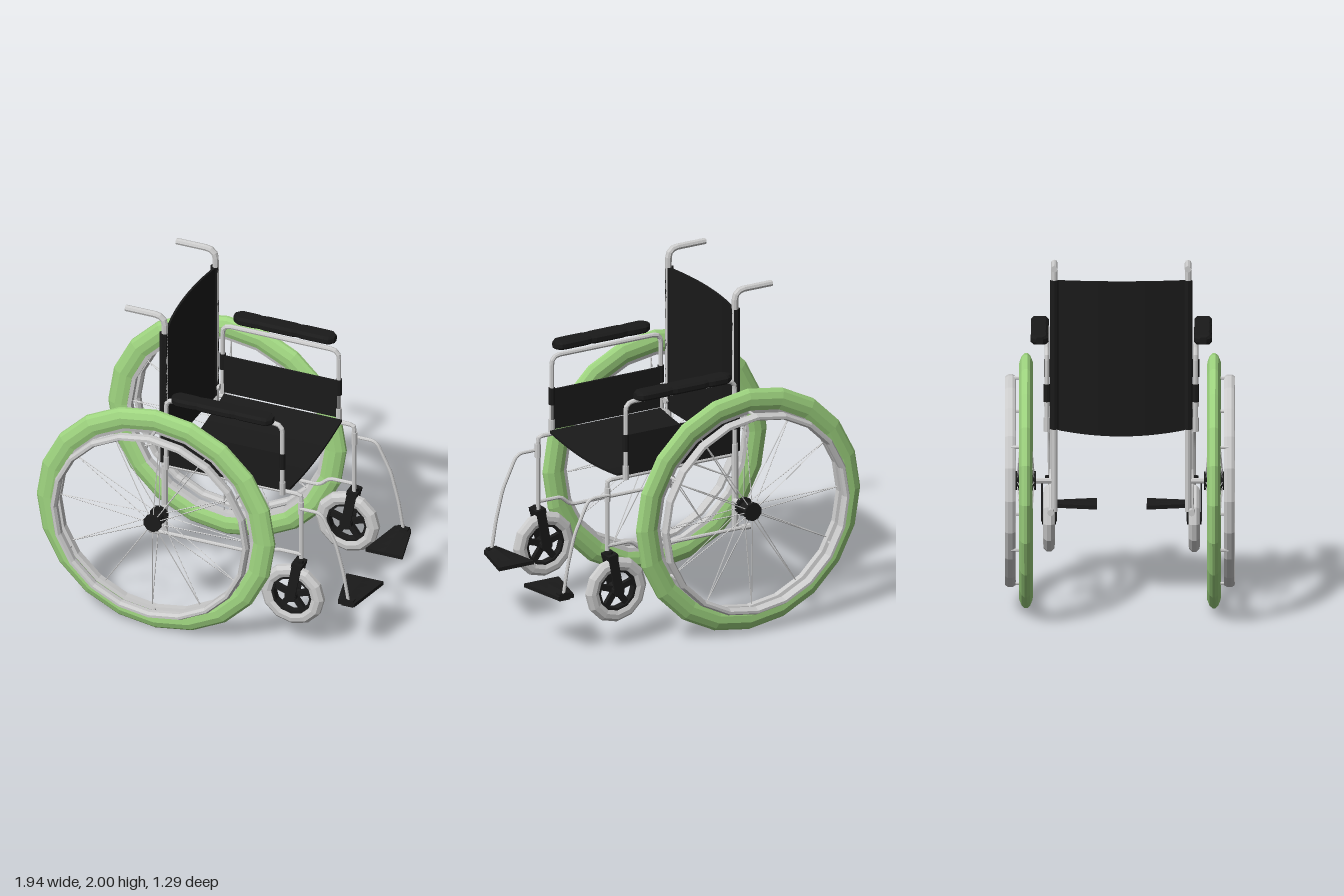
import * as THREE from 'three';

const paint = (color) => new THREE.MeshStandardMaterial({ color, flatShading: true, side: THREE.DoubleSide });
const metal = paint(0xcccccc);
const black = paint(0x1a1a1a);
const green = paint(0x9fd580);
const V = (x, y, z) => new THREE.Vector3(x, y, z);

function add(parent, name, geometry, material, x = 0, y = 0, z = 0) {
  const mesh = new THREE.Mesh(geometry, material);
  mesh.name = name;
  mesh.position.set(x, y, z);
  parent.add(mesh);
  return mesh;
}

// Straight closed rod between two points
function rod(parent, name, a, b, r, material = metal, sides = 8, r2 = r) {
  const d = b.clone().sub(a);
  const mesh = add(parent, name, new THREE.CylinderGeometry(r2, r, d.length(), sides), material);
  mesh.position.copy(a).addScaledVector(d, 0.5);
  mesh.quaternion.setFromUnitVectors(V(0, 1, 0), d.normalize());
  return mesh;
}

// Bent tube through [x, y] points at depth z, with rounded corners and closed ends
function bentTube(parent, name, pts, z, r, fillet = 0.05) {
  const p = pts.map(([x, y]) => V(x, y, z));
  const path = new THREE.CurvePath();
  let from = p[0];
  for (let i = 1; i < p.length - 1; i++) {
    const near = (q) => {
      const d = q.clone().sub(p[i]);
      return p[i].clone().addScaledVector(d, Math.min(fillet / d.length(), 0.45));
    };
    const a = near(p[i - 1]), b = near(p[i + 1]);
    path.add(new THREE.LineCurve3(from, a));
    path.add(new THREE.QuadraticBezierCurve3(a, p[i], b));
    from = b;
  }
  path.add(new THREE.LineCurve3(from, p[p.length - 1]));
  add(parent, name, new THREE.TubeGeometry(path, 56, r, 8), metal);
  for (const t of [0, 1]) {
    const end = path.getPointAt(t), dir = path.getTangentAt(t).multiplyScalar(0.003);
    rod(parent, name + 'End', end.clone().sub(dir), end.clone().add(dir), r);
  }
}

// Ring about the z axis from a closed [radius, depth] section
function ring(parent, name, section, sides, material, x, y, z) {
  const pts = [...section, section[0]].map(([r, d]) => new THREE.Vector2(r, d));
  return add(parent, name, new THREE.LatheGeometry(pts, sides).rotateX(Math.PI / 2), material, x, y, z);
}

function driveWheel(s) {
  const g = new THREE.Group();
  g.name = s > 0 ? 'nearDriveWheel' : 'farDriveWheel';
  g.position.set(-0.255, 0.722, 0);
  ring(g, 'tyre', [[0.6, -0.025], [0.63, -0.036], [0.67, -0.038], [0.705, -0.024], [0.72, -0.008],
    [0.72, 0.008], [0.705, 0.024], [0.67, 0.038], [0.63, 0.036], [0.6, 0.025]], 20, green, 0, 0, 0.527 * s);
  ring(g, 'rim', [[0.578, -0.018], [0.604, -0.024], [0.604, 0.024], [0.578, 0.018]], 20, metal, 0, 0, 0.527 * s);
  // Hand rim with standoffs
  const tube = [];
  for (let i = 0; i < 8; i++) {
    const a = (i + 0.5) * Math.PI / 4;
    tube.push([0.582 + 0.02 * Math.cos(a), 0.032 * Math.sin(a)]);
  }
  ring(g, 'handRim', tube, 20, metal, 0, 0, 0.614 * s);
  for (let i = 0; i < 6; i++) {
    const a = Math.PI / 2 + i * Math.PI / 3, c = Math.cos(a) * 0.588, d = Math.sin(a) * 0.588;
    rod(g, 'handRimStandoff', V(c, d, 0.53 * s), V(c, d, 0.61 * s), 0.009, metal, 6);
  }
  // Hub and axle
  rod(g, 'hub', V(0, 0, 0.475 * s), V(0, 0, 0.58 * s), 0.034, black, 10);
  for (const z of [0.482, 0.575])
    rod(g, 'hubFlange', V(0, 0, (z - 0.012) * s), V(0, 0, (z + 0.012) * s), 0.054, black, 10);
  rod(g, 'axle', V(0, 0, 0.375 * s), V(0, 0, 0.48 * s), 0.016, metal);
  // Spokes from both flanges
  for (let i = 0; i < 12; i++) {
    const a = -0.04 + i * Math.PI / 6, c = Math.cos(a), d = Math.sin(a);
    for (const z of [0.482, 0.575])
      rod(g, 'spoke', V(0.045 * c, 0.045 * d, z * s), V(0.582 * c, 0.582 * d, 0.527 * s), 0.003, metal, 4);
  }
  return g;
}

function caster(s) {
  const g = new THREE.Group();
  g.name = 'caster';
  g.position.set(0.527, 0.348, 0.407 * s);
  ring(g, 'casterTyre', [[0.122, -0.024], [0.145, -0.033], [0.172, -0.03], [0.191, -0.012],
    [0.191, 0.012], [0.172, 0.03], [0.145, 0.033], [0.122, 0.024]], 12, metal, 0, 0, 0);
  ring(g, 'casterRim', [[0.108, -0.022], [0.126, -0.022], [0.126, 0.022], [0.108, 0.022]], 12, black, 0, 0, 0);
  rod(g, 'casterHub', V(0, 0, -0.04), V(0, 0, 0.04), 0.036, black, 10);
  for (let i = 0; i < 5; i++) {
    const a = Math.PI / 2 + i * Math.PI * 0.4;
    const spoke = add(g, 'casterSpoke', new THREE.BoxGeometry(0.1, 0.034, 0.026), black,
      0.07 * Math.cos(a), 0.07 * Math.sin(a), 0);
    spoke.rotation.z = a;
  }
  // Fork blades, crown and stem
  for (const k of [-1, 1]) {
    const blade = add(g, 'forkBlade', new THREE.BoxGeometry(0.055, 0.24, 0.01), black, 0.019, 0.1, 0.039 * k);
    blade.rotation.z = -0.18;
  }
  const crown = add(g, 'forkCrown', new THREE.BoxGeometry(0.062, 0.028, 0.088), black, 0.038, 0.208, 0);
  crown.rotation.z = -0.18;
  rod(g, 'forkStem', V(0.045, 0.2, 0), V(0.045, 0.235, 0), 0.024, black);
  return g;
}

// Padded armrest with tapered ends, chamfered edges and seams
function armPad(parent, s) {
  for (const [x0, x1, in0, in1] of [[-0.18, -0.02, 0.03, 0.006], [-0.02, 0.21, 0.006, 0.006], [0.21, 0.43, 0.006, 0.03]]) {
    const shape = new THREE.Shape([[-0.05, -0.012], [-0.035, -0.026], [0.035, -0.026], [0.05, -0.012],
      [0.05, 0.012], [0.035, 0.026], [-0.035, 0.026], [-0.05, 0.012]].map(([a, b]) => new THREE.Vector2(a, b)));
    const geo = new THREE.ExtrudeGeometry(shape, { depth: 1, steps: 8, bevelEnabled: false });
    const p = geo.attributes.position, len = x1 - x0;
    for (let i = 0; i < p.count; i++) {
      const d = p.getZ(i) * len;
      const e0 = Math.max(0, 1 - d / 0.03), e1 = Math.max(0, 1 - (len - d) / 0.03);
      const k = 1 - (in0 * e0 + in1 * e1) / 0.05;
      p.setXYZ(i, p.getX(i) * k, p.getY(i) * (0.6 + 0.4 * k), d);
    }
    geo.rotateY(Math.PI / 2);
    add(parent, 'armPad', geo, black, x0, 1.505, 0.458 * s);
  }
}

function sideFrame(s) {
  const g = new THREE.Group();
  g.name = s > 0 ? 'nearSide' : 'farSide';
  // Back post with push handle
  bentTube(g, 'backPost', [[-0.495, 1.98], [-0.262, 1.98], [-0.262, 0.55]], 0.375 * s, 0.019, 0.06);
  rod(g, 'backSleeve', V(-0.268, 1.02, 0.375 * s), V(-0.268, 1.87, 0.375 * s), 0.025, black);
  rod(g, 'backScrew', V(-0.25, 1.07, 0.375 * s), V(-0.236, 1.07, 0.375 * s), 0.02, metal);
  // Seat rail running into the front post, and lower rail
  bentTube(g, 'seatRail', [[-0.262, 1.005], [0.572, 1.005], [0.572, 0.57]], 0.39 * s, 0.013, 0.02);
  bentTube(g, 'lowerRail', [[-0.3, 0.555], [0.36, 0.555], [0.42, 0.612], [0.572, 0.612]], 0.395 * s, 0.011, 0.03);
  rod(g, 'railGrip', V(-0.345, 0.555, 0.395 * s), V(-0.29, 0.555, 0.395 * s), 0.019);
  // Armrest frame, clamps, side panel
  bentTube(g, 'armFrame', [[-0.236, 1.02], [-0.236, 1.46], [0.468, 1.46], [0.468, 1.02]], 0.417 * s, 0.014, 0.05);
  for (const x of [-0.236, 0.468]) {
    rod(g, 'armClamp', V(x, 1.17, 0.417 * s), V(x, 1.27, 0.417 * s), 0.019, black);
    rod(g, 'armSocket', V(x, 1.0, 0.417 * s), V(x, 1.08, 0.417 * s), 0.018);
  }
  add(g, 'sidePanel', new THREE.BoxGeometry(0.7, 0.24, 0.012), black, 0.125, 1.143, 0.41 * s);
  armPad(g, s);
  g.add(caster(s));
  // Footrest hanger and plate, narrowing towards the outside
  bentTube(g, 'footHanger', [[0.572, 0.92], [0.7, 0.92], [0.79, 0.73], [0.835, 0.55], [0.866, 0.36]], 0.405 * s, 0.01, 0.04);
  rod(g, 'hangerJoint', V(0.572, 0.88, 0.393 * s), V(0.572, 0.96, 0.393 * s), 0.018);
  const plate = new THREE.BoxGeometry(1, 0.022, 0.28, 4, 1, 4);
  const p = plate.attributes.position;
  for (let i = 0; i < p.count; i++) {
    const t = 0.5 + s * p.getZ(i) / 0.28;
    const crown = p.getY(i) > 0 ? 0.018 * t * (1 - 2 * Math.abs(p.getX(i))) : 0;
    p.setXYZ(i, p.getX(i) * (0.225 - 0.125 * t), p.getY(i) + crown, p.getZ(i));
  }
  add(g, 'footPlate', plate, black, 0.855, 0.365, 0.28 * s);
  add(g, 'footBracket', new THREE.BoxGeometry(0.07, 0.042, 0.035), black, 0.862, 0.368, 0.4 * s);
  return g;
}

export function createModel() {
  const chair = new THREE.Group();
  chair.name = 'wheelchair';
  const body = new THREE.Group();
  body.name = 'body';
  body.position.z = 0.007;
  chair.add(body);
  for (const s of [1, -1]) {
    chair.add(driveWheel(s));
    body.add(sideFrame(s));
  }
  // Sagging seat cloth
  const seat = new THREE.BoxGeometry(0.715, 0.014, 0.765, 1, 1, 12);
  const sp = seat.attributes.position;
  for (let i = 0; i < sp.count; i++)
    sp.setY(i, sp.getY(i) - 0.03 * (1 - (sp.getZ(i) / 0.3825) ** 2));
  add(body, 'seat', seat, black, 0.143, 1.022, 0);
  // Back cloth bowed rearwards, its lower edge dipping in the middle
  const back = new THREE.BoxGeometry(0.012, 0.85, 0.785, 1, 1, 12);
  const bp = back.attributes.position;
  for (let i = 0; i < bp.count; i++) {
    const bow = 1 - (bp.getZ(i) / 0.3925) ** 2;
    bp.setX(i, bp.getX(i) - 0.045 * bow);
    if (bp.getY(i) < 0) bp.setY(i, bp.getY(i) - 0.035 * bow);
  }
  add(body, 'backrest', back, black, -0.254, 1.445, 0);
  return chair;
}
